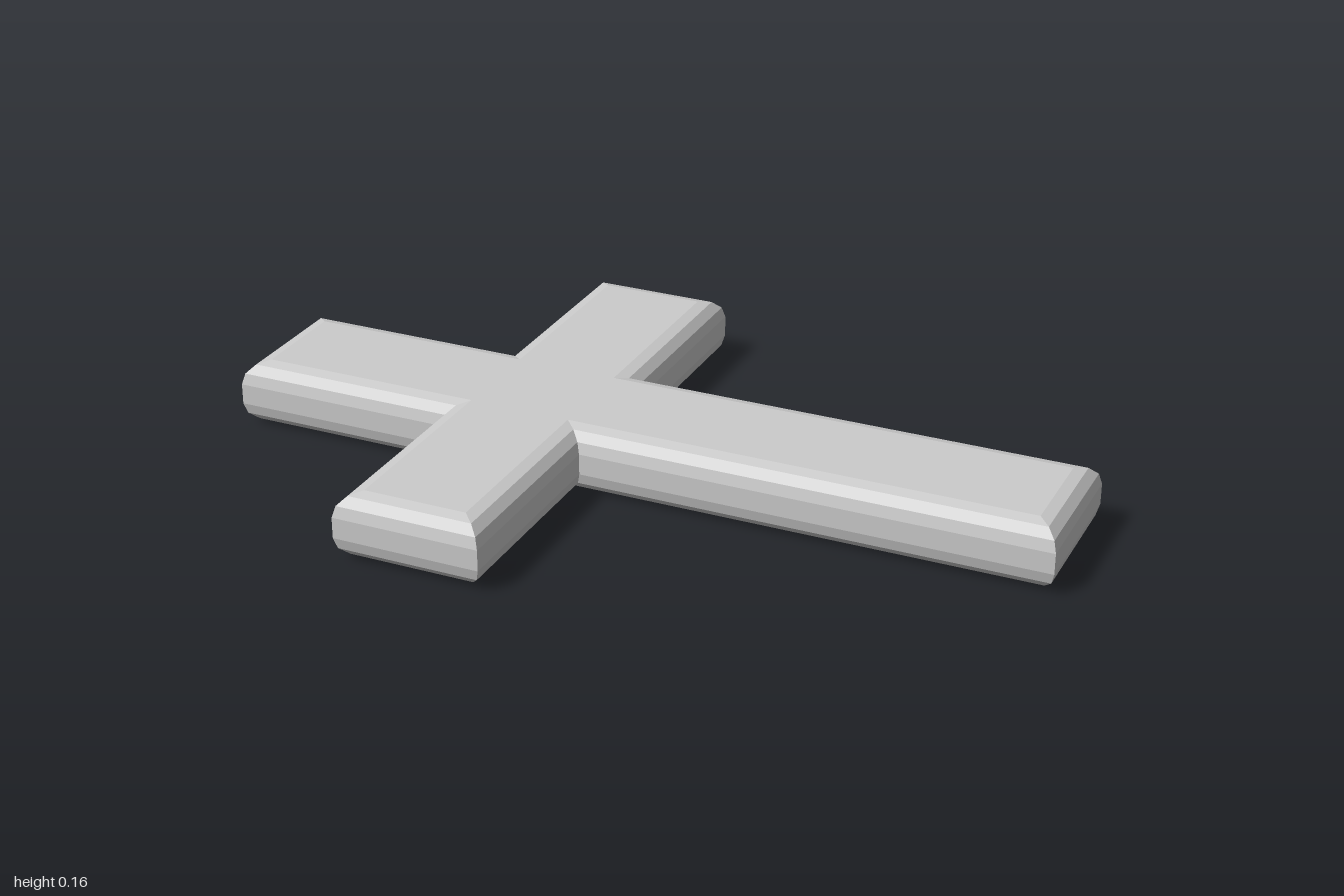
import * as THREE from 'three';

export function createModel() {
  const group = new THREE.Group();
  group.name = 'cross';

  const height = 0.156, bevel = 0.053;
  const half = 0.175, reach = 0.664; // arm half width, crossbar half length
  const left = -0.463, right = -0.11; // crossbar edges

  // Outline of the upright and crossbar, lying flat
  const outline = new THREE.Shape([
    [-1, -half], [left, -half], [left, -reach], [right, -reach],
    [right, -half], [1, -half], [1, half], [right, half],
    [right, reach], [left, reach], [left, half], [-1, half],
  ].map(([x, y]) => new THREE.Vector2(x, y)));

  // Rounded rim is kept inside the outline
  const geometry = new THREE.ExtrudeGeometry(outline, {
    depth: height - 2 * bevel,
    bevelEnabled: true,
    bevelThickness: bevel,
    bevelSize: bevel,
    bevelOffset: -bevel,
    bevelSegments: 3,
  });
  geometry.translate(0, 0, bevel);
  geometry.rotateX(-Math.PI / 2);

  const body = new THREE.Mesh(geometry, new THREE.MeshStandardMaterial({ color: 0xcccccc }));
  body.name = 'crossBody';
  group.add(body);
  return group;
}
